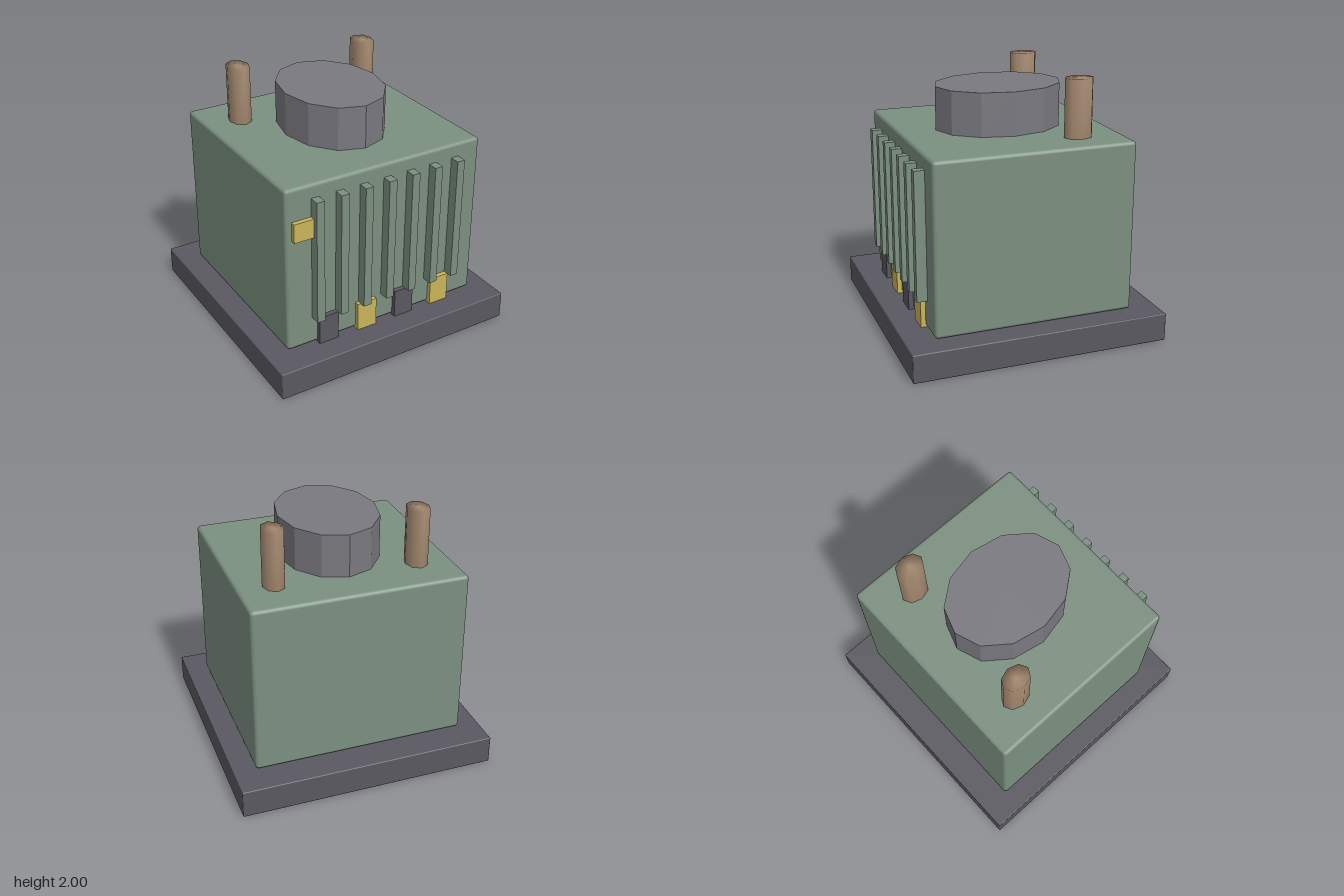
import * as THREE from 'three';
import { mergeVertices } from 'three/addons/utils/BufferGeometryUtils.js';
import { RoundedBoxGeometry } from 'three/addons/geometries/RoundedBoxGeometry.js';

function material(name, color) {
  const m = new THREE.MeshStandardMaterial({ color });
  m.name = name;
  return m;
}

export function createModel() {
  const group = new THREE.Group();
  const green = material('casing green', 0x7b9080);
  const dark = material('dark grey', 0x5a5860);
  const grey = material('cap grey', 0x7a7980);
  const yellow = material('yellow', 0xc9b459);
  const brown = material('post brown', 0xa58a70);

  function add(name, geometry, mat, x, y, z) {
    const mesh = new THREE.Mesh(geometry, mat);
    mesh.name = name;
    mesh.position.set(x, y, z);
    group.add(mesh);
    return mesh;
  }

  // Base slab and softly bevelled casing
  add('base', new RoundedBoxGeometry(2, 0.22, 2, 2, 0.008), dark, 0, 0.11, 0);
  add('casing', new RoundedBoxGeometry(1.66, 1.33, 1.56, 2, 0.028), green, 0, 0.89, 0);

  // Twelve-sided oval cap with flat faces
  const cap = new THREE.CylinderGeometry(1, 1, 0.39, 12).toNonIndexed();
  cap.scale(0.387, 1, 0.5);
  cap.computeVertexNormals();
  add('topCap', cap, grey, 0, 1.695, 0);

  // Smooth eight-sided oval posts, normals shared across side and end
  let post = new THREE.CylinderGeometry(1, 1, 0.5, 8);
  post.scale(0.087, 1, 0.113);
  post.deleteAttribute('normal');
  post.deleteAttribute('uv');
  post = mergeVertices(post);
  post.computeVertexNormals();
  for (const side of [-1, 1]) add('post', post, brown, side * 0.555, 1.75, -0.43);

  // Vertical ribs on the front
  const rib = new THREE.BoxGeometry(0.064, 0.995, 0.1);
  for (let i = 0; i < 7; i++) add('rib', rib, green, -0.592 + i * 0.2, 0.948, 0.81);

  // Alternating tabs along the foot of the front
  const tab = new THREE.BoxGeometry(0.163, 0.23, 0.06);
  for (let i = 0; i < 4; i++) {
    add('footTab', tab, i % 2 ? yellow : dark, -0.5 + i * 0.333, 0.335, 0.787);
  }

  // Small side plate
  add('plate', new THREE.BoxGeometry(0.16, 0.15, 0.06), yellow, -0.702, 1.225, 0.787);

  return group;
}
